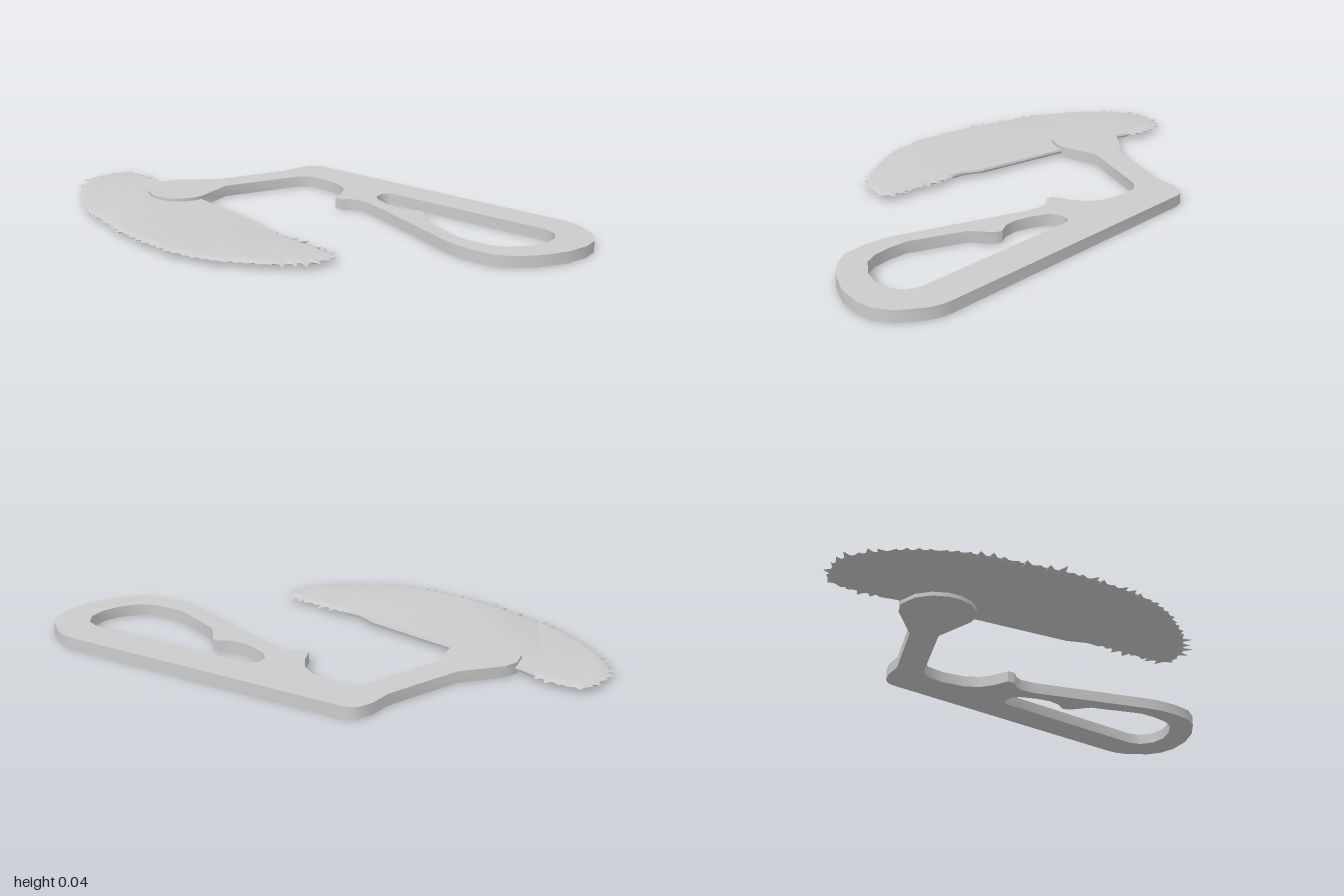
import * as THREE from 'three';
import { toCreasedNormals } from 'three/addons/utils/BufferGeometryUtils.js';

const material = new THREE.MeshStandardMaterial({ color: 0xcccccc });

// Plan outlines are [x, z], listed clockwise from above; shapes are drawn
// anticlockwise with y = -z and then laid flat.
const toPoints = (list) => list.map(([x, z]) => new THREE.Vector2(x, -z)).reverse();

function addMesh(group, geometry, name, crease) {
  geometry.rotateX(-Math.PI / 2);
  const mesh = new THREE.Mesh(toCreasedNormals(geometry, crease), material);
  mesh.name = name;
  group.add(mesh);
}

function seeded(seed) {
  return () => {
    seed = (seed * 16807) % 2147483647;
    return seed / 2147483647;
  };
}

// Looped grip with its bent arm and the rounded pad that clamps the blade
function handleGeometry() {
  const shape = new THREE.Shape(toPoints([
    [-0.33, -0.573], [0.8, -0.573], [0.84, -0.568], [0.88, -0.553], [0.96, -0.495], [0.993, -0.44], [1, -0.37],
    [0.98, -0.28], [0.93, -0.19], [0.87, -0.125], [0.81, -0.09], [0.73, -0.083], [0.65, -0.09], [0.6, -0.105],
    [0.14, -0.28], [0.08, -0.29], [0.05, -0.28], [0.02, -0.253], [-0.01, -0.257], [-0.03, -0.32],
    [-0.06, -0.37], [-0.11, -0.405], [-0.2, -0.425], [-0.27, -0.42], [-0.31, -0.39],
    [-0.445, -0.1], [-0.422, 0.06], [-0.427, 0.09], [-0.455, 0.14], [-0.5, 0.17], [-0.55, 0.177], [-0.59, 0.17],
    [-0.64, 0.14], [-0.675, 0.09], [-0.685, 0.02], [-0.66, -0.03], [-0.535, -0.15],
    [-0.41, -0.42], [-0.398, -0.5], [-0.375, -0.55], [-0.355, -0.566],
  ]));
  // ExtrudeGeometry turns the hole itself, so it keeps the outline's direction
  shape.holes.push(new THREE.Path(toPoints([
    [0.12, -0.44], [0.8, -0.44], [0.85, -0.42], [0.878, -0.37], [0.875, -0.31], [0.85, -0.25],
    [0.8, -0.19], [0.75, -0.167], [0.68, -0.16], [0.61, -0.165], [0.41, -0.25], [0.355, -0.325],
    [0.33, -0.332], [0.29, -0.31], [0.24, -0.305], [0.18, -0.32], [0.12, -0.35], [0.1, -0.375],
    [0.097, -0.4], [0.105, -0.428],
  ])));
  return new THREE.ExtrudeGeometry(shape, { depth: 0.043, bevelEnabled: false });
}

// Thin curved blade: flat core, edge tapering to the mid-plane, ragged teeth
function bladeGeometry() {
  const path = new THREE.Path(toPoints([
    [-0.8, -0.025], [-0.7, 0.01], [-0.42, 0.06], [-0.05, 0.135], [0.02, 0.17], [0.12, 0.18],
    [0.25, 0.195], [0.36, 0.215], [0.377, 0.25], [0.345, 0.34], [0.25, 0.43], [0.1, 0.515], [0, 0.545],
    [-0.1, 0.552], [-0.25, 0.54], [-0.38, 0.517], [-0.5, 0.48], [-0.62, 0.445], [-0.72, 0.4],
    [-0.82, 0.335], [-0.88, 0.28], [-0.94, 0.21], [-0.975, 0.15], [-0.985, 0.1], [-0.965, 0.02],
    [-0.94, -0.03], [-0.88, -0.035],
  ]));
  path.closePath();
  const line = path.getPoints();
  const count = 240;
  const random = seeded(77);

  // Resample the outline evenly by length
  const lengths = [0];
  for (let i = 1; i < line.length; i++) lengths.push(lengths[i - 1] + line[i].distanceTo(line[i - 1]));
  const ring = [];
  for (let i = 0, k = 1; i < count; i++) {
    const d = (i / count) * lengths[lengths.length - 1];
    while (lengths[k] < d) k++;
    ring.push(line[k - 1].clone().lerp(line[k], (d - lengths[k - 1]) / (lengths[k] - lengths[k - 1])));
  }

  const mid = 0.0225, half = 0.008;
  const inner = [], outer = [];
  ring.forEach((p, i) => {
    const t = ring[(i + 2) % count].clone().sub(ring[(i + count - 2) % count]).normalize();
    const n = new THREE.Vector2(t.y, -t.x);
    const plain = p.y > -0.19 && p.x > -0.76 && p.x < 0.08;
    const fine = p.y < -0.4 && p.x > -0.1 && p.x < 0.3;
    let reach = 0, lean = 0;
    if (!plain && i % 3 === 1) {
      reach = fine ? 0.004 + 0.01 * random() : 0.008 + 0.03 * random() ** 1.5;
      lean = (random() - 0.5) * 0.026;
    }
    inner.push(p.clone().addScaledVector(n, plain ? -0.003 : -0.02));
    const tip = p.clone().addScaledVector(n, reach).addScaledVector(t, lean);
    tip.set(Math.max(tip.x, -1), Math.max(tip.y, -0.573));
    outer.push(tip);
  });

  const position = [], index = [];
  for (const p of inner) position.push(p.x, p.y, mid + half);
  for (const p of outer) position.push(p.x, p.y, mid);
  for (const p of inner) position.push(p.x, p.y, mid - half);
  for (const [a, b, c] of THREE.ShapeUtils.triangulateShape(inner, [])) {
    index.push(a, b, c, a + 2 * count, c + 2 * count, b + 2 * count);
  }
  for (let i = 0; i < count; i++) {
    const j = (i + 1) % count;
    const [oi, oj, li, lj] = [i + count, j + count, i + 2 * count, j + 2 * count];
    index.push(i, oi, oj, i, oj, j, li, oj, oi, li, lj, oj);
  }
  const geometry = new THREE.BufferGeometry();
  geometry.setAttribute('position', new THREE.Float32BufferAttribute(position, 3));
  geometry.setIndex(index);
  return geometry;
}

export function createModel() {
  const group = new THREE.Group();
  group.name = 'handSaw';
  addMesh(group, handleGeometry(), 'handle', 0.75);
  addMesh(group, bladeGeometry(), 'blade', 0.5);
  return group;
}
